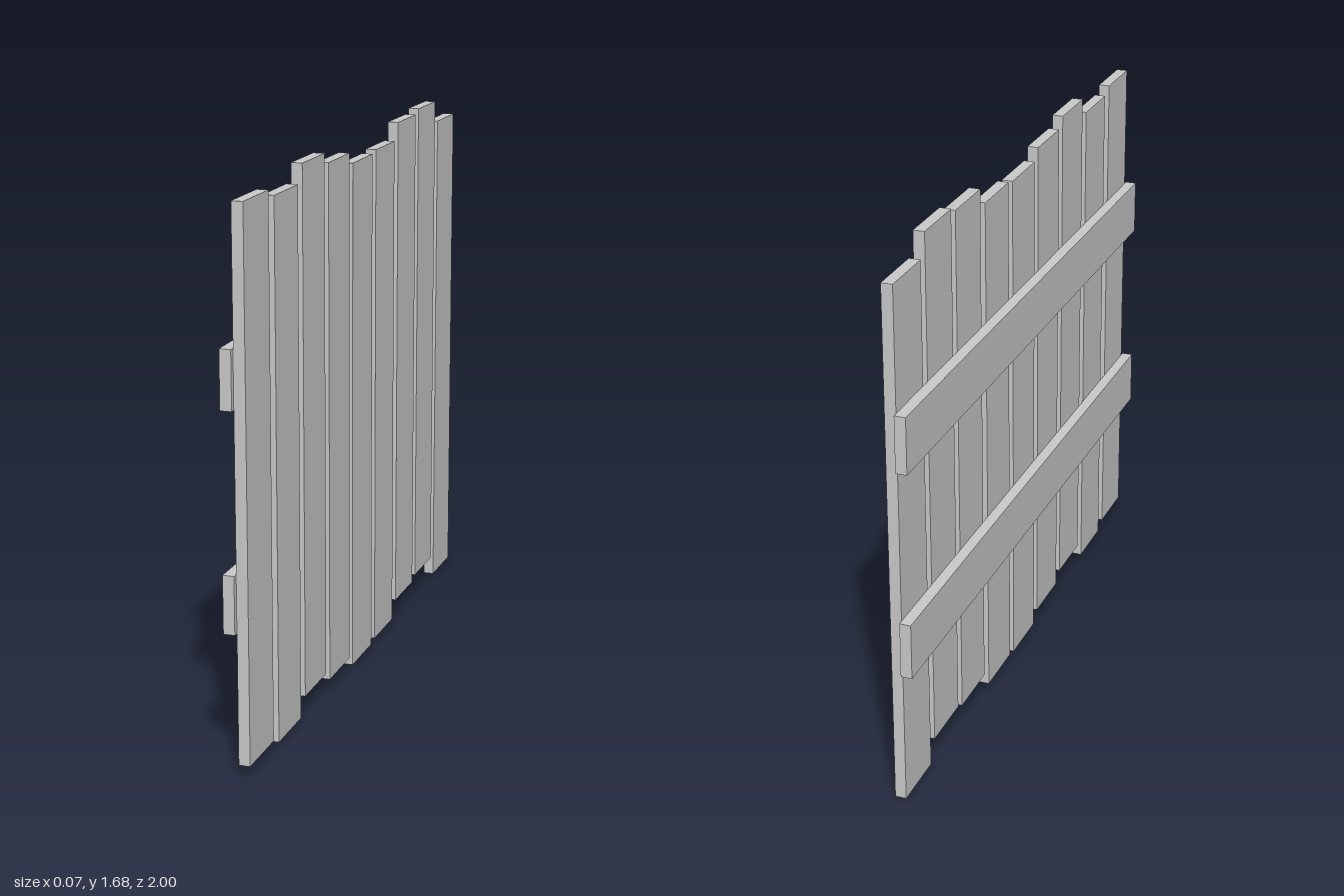
import * as THREE from 'three';

export function createModel() {
  const group = new THREE.Group();
  const material = new THREE.MeshStandardMaterial({ color: 0xcccccc, flatShading: true });
  const thickness = 0.034;

  function board(name, height, depth, x, y, z) {
    const mesh = new THREE.Mesh(new THREE.BoxGeometry(thickness, height, depth), material);
    mesh.name = name;
    mesh.position.set(x, y, z);
    group.add(mesh);
  }

  // Upright planks, each at its own height: [centre z, bottom y]
  const plankHeight = 1.6;
  const planks = [
    [0.89, 0.035], [0.66, 0.013], [0.435, 0.067],
    [0.213, 0.035], [-0.006, 0], [-0.228, 0.008],
    [-0.453, 0.062], [-0.672, 0.077], [-0.891, 0.008],
  ];
  planks.forEach(([z, bottom], i) =>
    board(`plank${i + 1}`, plankHeight, 0.188, thickness / 2, bottom + plankHeight / 2, z));

  // Two rails along the back of the planks
  board('lowerRail', 0.172, 2, -thickness / 2, 0.514, 0);
  board('upperRail', 0.172, 2, -thickness / 2, 1.152, 0);

  return group;
}
